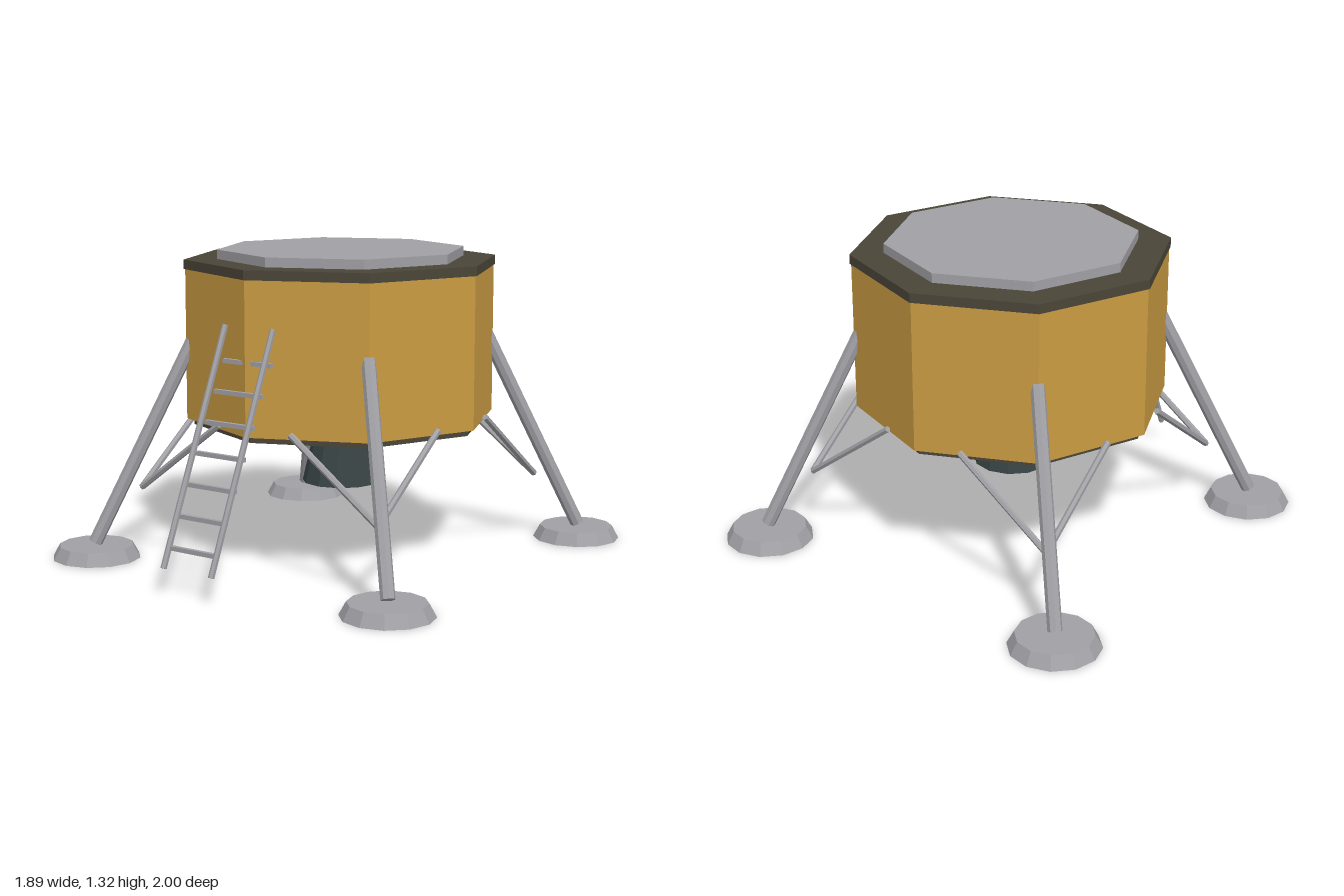
import * as THREE from 'three';

function mat(name, color) {
  const m = new THREE.MeshStandardMaterial({ color });
  m.name = name;
  m.flatShading = true;
  return m;
}

export function createModel() {
  const gold = mat('gold foil', 0xca9c42);
  const dark = mat('dark trim', 0x4a4538);
  const grey = mat('grey metal', 0xa0a0a5);
  const bellDark = mat('engine dark', 0x384343);

  const model = new THREE.Group();
  model.name = 'landerDescentStage';
  const craft = new THREE.Group();
  craft.name = 'craft';
  craft.position.z = -0.055;
  model.add(craft);

  function add(parent, name, geometry, material) {
    const mesh = new THREE.Mesh(geometry, material);
    mesh.name = name;
    parent.add(mesh);
    return mesh;
  }

  // Upright prism or cone between two heights
  function prism(parent, name, rTop, rBottom, y0, y1, sides, material) {
    const mesh = add(parent, name, new THREE.CylinderGeometry(rTop, rBottom, y1 - y0, sides), material);
    mesh.position.y = (y0 + y1) / 2;
    return mesh;
  }

  // Straight tube between two points
  function rod(parent, name, from, to, radius, sides) {
    const a = new THREE.Vector3(...from);
    const b = new THREE.Vector3(...to);
    const dir = b.clone().sub(a);
    const mesh = add(parent, name, new THREE.CylinderGeometry(radius, radius, dir.length(), sides), grey);
    mesh.position.copy(a).add(b).multiplyScalar(0.5);
    mesh.quaternion.setFromUnitVectors(new THREE.Vector3(0, 1, 0), dir.normalize());
    return mesh;
  }

  // Octagonal body with trim plates and engine
  prism(craft, 'basePlate', 0.64, 0.64, 0.568, 0.6, 8, dark);
  prism(craft, 'body', 0.67, 0.67, 0.594, 1.24, 8, gold);
  prism(craft, 'topRim', 0.676, 0.676, 1.235, 1.275, 8, dark);
  prism(craft, 'topDeck', 0.535, 0.535, 1.27, 1.315, 8, grey);
  prism(craft, 'engineBell', 0.105, 0.17, 0.3, 0.58, 12, bellDark);

  // Four landing legs, each with a foot pad and two braces
  for (const sx of [1, -1]) {
    for (const sz of [1, -1]) {
      const leg = new THREE.Group();
      leg.name = `${sz > 0 ? 'front' : 'back'}${sx > 0 ? 'Left' : 'Right'}Leg`;
      craft.add(leg);
      const p = (x, y, z) => [sx * x, y, sz * z];
      const pad = prism(leg, 'footPad', 0.16, 0.19, 0, 0.055, 12, grey);
      pad.position.x = sx * 0.755;
      pad.position.z = sz * 0.755;
      rod(leg, 'mainStrut', p(0.758, 0.065, 0.758), p(0.44, 0.97, 0.44), 0.03, 8);
      rod(leg, 'sideBrace', p(0.614, 0.3, 0.614), p(0.185, 0.617, 0.614), 0.014, 6);
      rod(leg, 'innerBrace', p(0.614, 0.3, 0.614), p(0.614, 0.617, 0.185), 0.014, 6);
    }
  }

  // Ladder on the front
  const ladder = new THREE.Group();
  ladder.name = 'ladder';
  model.add(ladder);
  for (const s of [1, -1]) {
    rod(ladder, 'rail', [s * 0.122, 0.112, 0.99], [s * 0.122, 1.043, 0.587], 0.013, 6);
  }
  for (let i = 0; i < 7; i++) {
    const rung = add(ladder, 'rung', new THREE.BoxGeometry(0.244, 0.018, 0.018), grey);
    rung.position.set(0, 0.19 + 0.118 * i, 0.952 - 0.059 * i);
  }
  return model;
}
